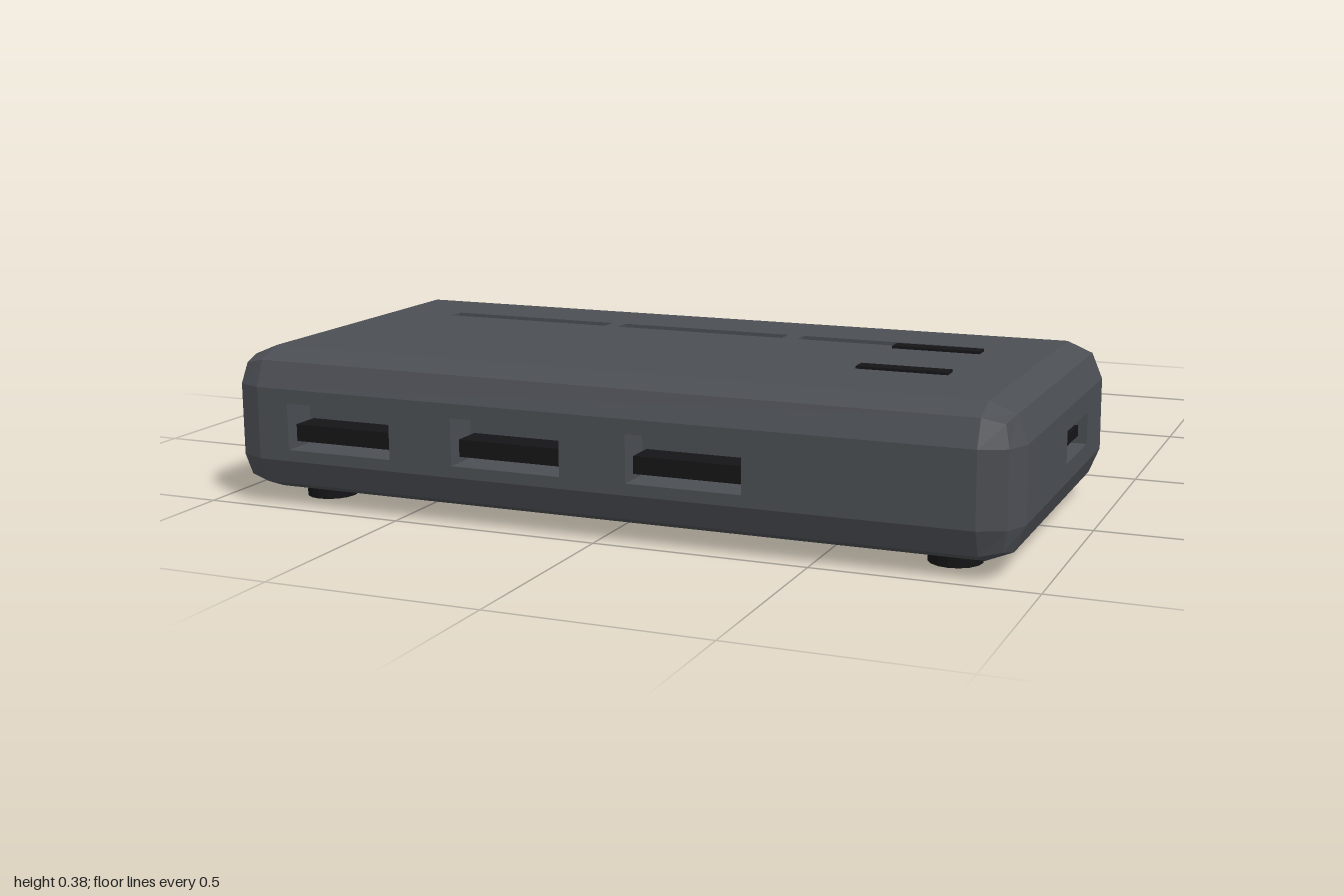
import * as THREE from 'three';
import { RoundedBoxGeometry } from 'three/addons/geometries/RoundedBoxGeometry.js';

const shellMat = new THREE.MeshStandardMaterial({ color: 0x4b4e53, flatShading: true });
const darkMat = new THREE.MeshStandardMaterial({ color: 0x151517, flatShading: true });
const cableMat = new THREE.MeshStandardMaterial({ color: 0x151517 });

const W = 1.89, H = 0.34, D = 0.9, R = 0.085;

function add(parent, name, geometry, material, x = 0, y = 0, z = 0) {
  const mesh = new THREE.Mesh(geometry, material);
  mesh.name = name;
  mesh.position.set(x, y, z);
  parent.add(mesh);
  return mesh;
}

// Rounded shell with the flat front, side and top faces left open for the panels
function shellGeometry() {
  const box = new RoundedBoxGeometry(W, H, D, 1, R);
  const p = box.attributes.position;
  const limits = [W / 2, H / 2, D / 2];
  const kept = [];
  for (let i = 0; i < p.count; i += 3) {
    const open = limits.some((limit, axis) =>
      [0, 1, 2].every(k => Math.abs(p.getComponent(i + k, axis) - limit) < 1e-5));
    if (open) continue;
    for (let k = 0; k < 3; k++) kept.push(p.getX(i + k), p.getY(i + k), p.getZ(i + k));
  }
  const g = new THREE.BufferGeometry();
  g.setAttribute('position', new THREE.Float32BufferAttribute(kept, 3));
  g.computeVertexNormals();
  return g;
}

// Flat panel facing +z with rectangular wells [x, y, width, height]
function panel(name, w, h, depth, wells) {
  const group = new THREE.Group();
  group.name = name;
  const rect = (Kind, x, y, a, b) => new Kind([
    new THREE.Vector2(x - a / 2, y - b / 2), new THREE.Vector2(x + a / 2, y - b / 2),
    new THREE.Vector2(x + a / 2, y + b / 2), new THREE.Vector2(x - a / 2, y + b / 2)]);
  const shape = rect(THREE.Shape, 0, 0, w, h);
  wells.forEach(v => shape.holes.push(rect(THREE.Path, ...v)));
  const g = new THREE.ExtrudeGeometry(shape, { depth, bevelEnabled: false });
  add(group, name + 'Face', g, shellMat, 0, 0, -depth);
  wells.forEach(([x, y, a, b]) =>
    add(group, name + 'WellFloor', new THREE.PlaneGeometry(a, b), shellMat, x, y, -depth));
  return group;
}

export function createModel() {
  const model = new THREE.Group();
  model.name = 'portHub';

  const body = new THREE.Group();
  body.name = 'body';
  body.position.set(0, 0.2, 0.55);
  model.add(body);
  add(body, 'shell', shellGeometry(), shellMat);

  // Front panel with three wide sockets
  const portXs = [-0.645, -0.215, 0.215];
  const front = panel('frontPanel', W - 2 * R, H - 2 * R, 0.09, portXs.map(x => [x, -0.003, 0.27, 0.11]));
  front.position.z = D / 2;
  portXs.forEach(x => add(front, 'socketTongue', new THREE.BoxGeometry(0.25, 0.04, 0.07), darkMat, x, -0.02, -0.055));
  body.add(front);

  // Side panel with one small socket
  const side = panel('sidePanel', D - 2 * R, H - 2 * R, 0.07, [[0.105, -0.003, 0.21, 0.075]]);
  side.position.x = W / 2;
  side.rotation.y = Math.PI / 2;
  add(side, 'smallSocketTongue', new THREE.BoxGeometry(0.15, 0.025, 0.055), darkMat, 0.105, -0.003, -0.042);
  body.add(side);

  // Top panel with three shallow grooves
  const top = panel('topPanel', W - 2 * R, D - 2 * R, 0.015, [-0.475, -0.005, 0.47].map(x => [x, 0.177, 0.435, 0.045]));
  top.position.y = H / 2;
  top.rotation.x = -Math.PI / 2;
  body.add(top);

  // Raised bars on the top
  for (const z of [0.41, 0.675])
    add(model, 'topBar', new THREE.BoxGeometry(0.21, 0.02, 0.04), darkMat, 0.605, 0.366, z);

  // Feet
  for (const x of [-0.775, 0.775]) for (const z of [0.27, 0.835])
    add(model, 'foot', new THREE.CylinderGeometry(0.062, 0.06, 0.04, 16), darkMat, x, 0.02, z);

  // Round jack with a hollow centre on the back
  const jackProfile = [[0, -0.02], [0.022, -0.02], [0.022, 0.025], [0.045, 0.025], [0.045, -0.02]]
    .map(([r, y]) => new THREE.Vector2(r, y));
  const jackMat = darkMat.clone();
  jackMat.side = THREE.DoubleSide;
  add(model, 'jack', new THREE.LatheGeometry(jackProfile, 14), jackMat, -0.435, 0.178, 0.1).rotation.x = -Math.PI / 2;

  // Cable curving away from the back, with a closed end
  const path = new THREE.CatmullRomCurve3([
    [0, 0.195, 0.13], [0.015, 0.18, 0], [0.05, 0.146, -0.2], [0.105, 0.115, -0.38],
    [0.2, 0.093, -0.56], [0.31, 0.083, -0.77], [0.425, 0.075, -0.978],
  ].map(p => new THREE.Vector3(...p)));
  add(model, 'cable', new THREE.TubeGeometry(path, 24, 0.044, 10), cableMat);
  const end = path.getPoint(1);
  const cap = add(model, 'cableEnd', new THREE.CircleGeometry(0.044, 10), cableMat, end.x, end.y, end.z);
  cap.lookAt(end.clone().add(path.getTangent(1)));

  return model;
}
